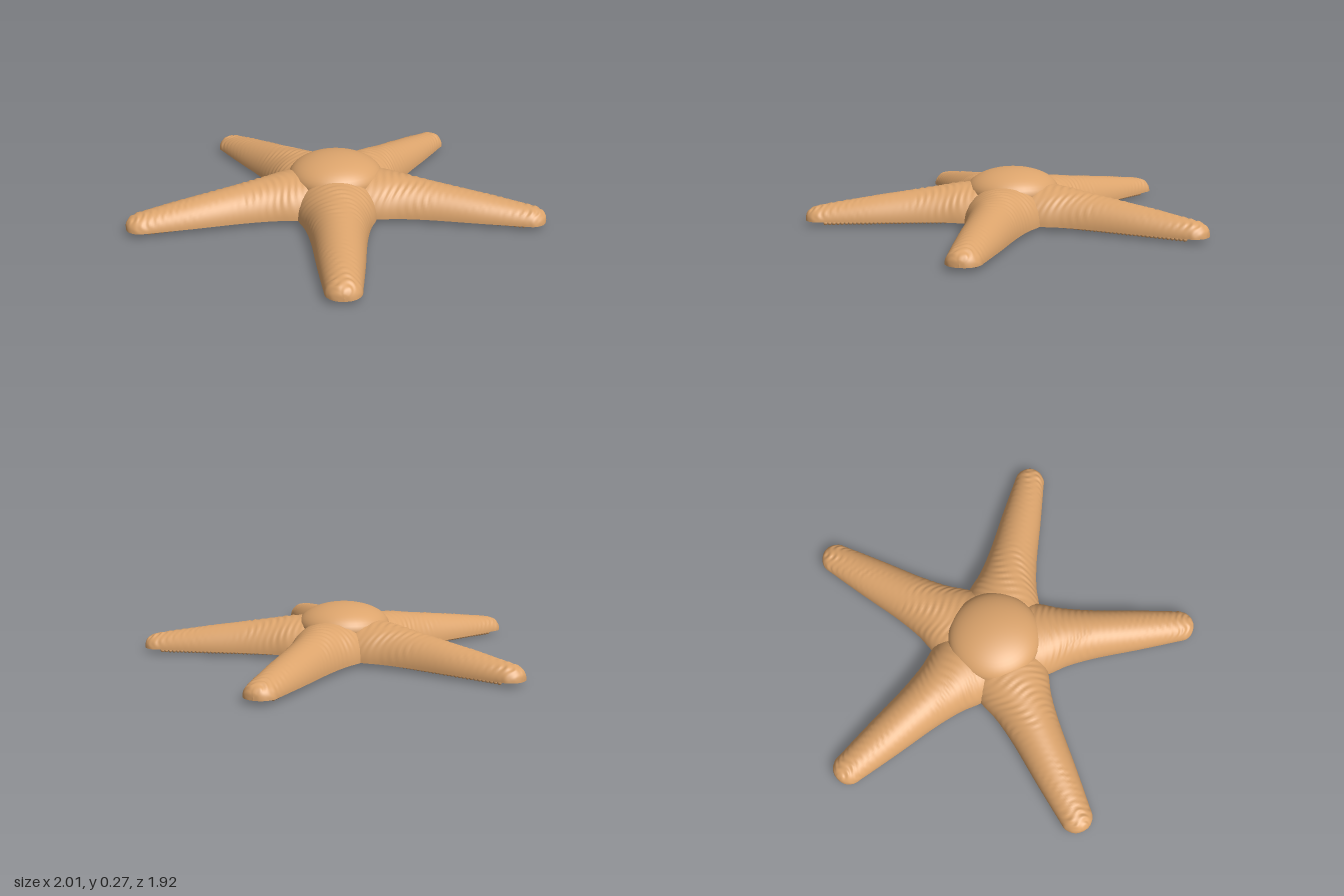
import * as THREE from 'three';
import { mergeGeometries } from 'three/addons/utils/BufferGeometryUtils.js';

const BASE = 0.022; // height of the underside
const ARMS = 5;

// arm profile: distance from the centre, half width, height
const profile = new THREE.CatmullRomCurve3([
  [0, 0.23, 0.175], [0.15, 0.215, 0.178], [0.27, 0.187, 0.172], [0.36, 0.157, 0.161],
  [0.5, 0.131, 0.142], [0.75, 0.106, 0.108], [0.95, 0.083, 0.077], [1.0, 0.076, 0.067],
  [1.03, 0.055, 0.052], [1.045, 0.03, 0.034], [1.05, 0, 0.012],
].map((p) => new THREE.Vector3(p[1], p[2], p[0])), false, 'centripetal');

// surface from a grid of points; rows run along the arm, columns across it
function gridSurface(rows, cols, pointAt) {
  const pos = [], index = [];
  for (let i = 0; i <= rows; i++) {
    const p = profile.getPoint(Math.pow(i / rows, 0.9));
    for (let j = 0; j <= cols; j++) {
      pos.push(...pointAt(p.x, p.y, p.z, j / cols));
      if (i < rows && j < cols) {
        const a = i * (cols + 1) + j, b = a + cols + 1;
        index.push(a, a + 1, b, a + 1, b + 1, b);
      }
    }
  }
  const g = new THREE.BufferGeometry();
  g.setAttribute('position', new THREE.Float32BufferAttribute(pos, 3));
  g.setIndex(index);
  g.computeVertexNormals();
  return g;
}

// arched back with fine uneven ripples across it
function armBack() {
  return gridSurface(150, 32, (w, h, r, t) => {
    const a = t * Math.PI;
    const fade = Math.sin(a) * Math.min(1, w / 0.07) * Math.min(1, r / 0.3);
    const bump = 0.003 * fade * Math.sin(170 * r + 2.5 * Math.sin(4 * a + 9 * r))
      * (0.6 + 0.4 * Math.sin(7 * a + 31 * r));
    return [(w + bump) * Math.cos(a), BASE + (h + bump) * Math.sin(a), r];
  });
}

// flat underside with a shallow groove along the middle
function armUnderside() {
  return gridSurface(40, 20, (w, h, r, t) => {
    const u = 1 - 2 * t;
    const groove = Math.min(0.015, h * 0.3) * Math.max(0, 1 - Math.abs(u) / 0.25);
    return [-w * u, BASE + groove, r];
  });
}

// two double rows of small round feet
function tubeFeet() {
  const feet = [];
  const count = 38;
  for (let i = 0; i < count; i++) {
    const t = i / (count - 1);
    for (const side of [-1, 1]) {
      for (const [inner, outer, shift] of [[0.045, 0.022, 0], [0.085, 0.045, 0.01]]) {
        const foot = new THREE.SphereGeometry(0.0115, 7, 5);
        foot.translate(side * THREE.MathUtils.lerp(inner, outer, t), 0.0115, 0.18 + 0.76 * t + shift);
        feet.push(foot);
      }
    }
  }
  return mergeGeometries(feet);
}

export function createModel() {
  const skin = new THREE.MeshStandardMaterial({ color: 0xdca46c });
  skin.name = 'sandy orange';

  const model = new THREE.Group();
  model.name = 'starfish';
  const star = new THREE.Group();
  star.name = 'body';
  star.position.z = 0.1;
  model.add(star);

  const add = (parent, name, geometry) => {
    const mesh = new THREE.Mesh(geometry, skin);
    mesh.name = name;
    parent.add(mesh);
    return mesh;
  };

  // domed centre
  const dome = add(star, 'centralDome', new THREE.SphereGeometry(1, 48, 24));
  dome.scale.set(0.235, 0.115, 0.235);
  dome.position.y = 0.155;

  // five equal arms, the first pointing backwards
  const back = armBack(), underside = armUnderside(), feet = tubeFeet();
  for (let k = 0; k < ARMS; k++) {
    const arm = new THREE.Group();
    arm.name = `arm${k + 1}`;
    arm.rotation.y = Math.PI + (k * 2 * Math.PI) / ARMS;
    add(arm, 'armBack', back);
    add(arm, 'armUnderside', underside);
    add(arm, 'tubeFeet', feet);
    star.add(arm);
  }
  return model;
}
